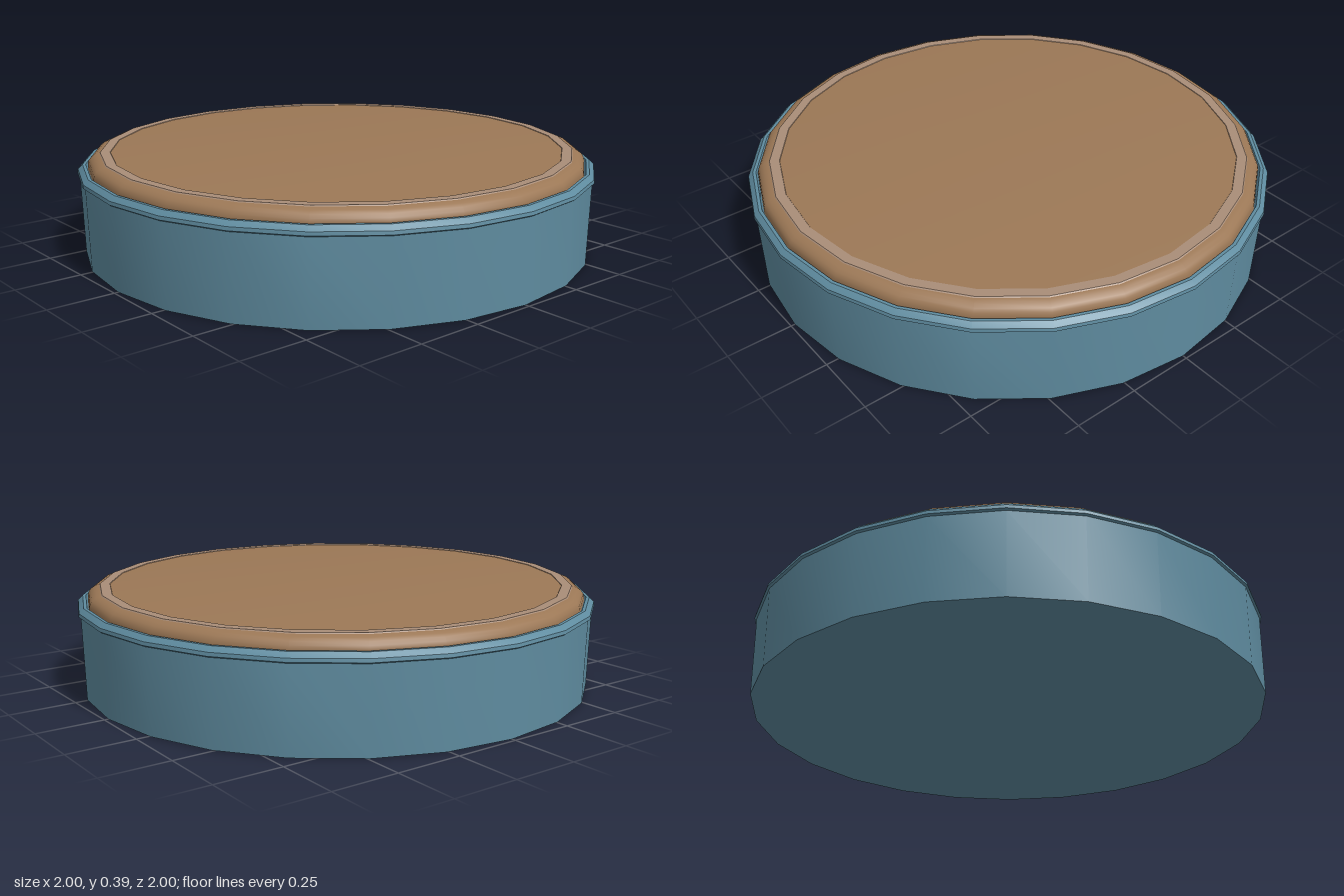
import * as THREE from 'three';
import { toCreasedNormals } from 'three/addons/utils/BufferGeometryUtils.js';

const SIDES = 24;

// Turned part from a profile of [radius, height] pairs, running up the outside
function turned(name, color, profile) {
  const points = profile.map(([r, y]) => new THREE.Vector2(r, y));
  const geometry = toCreasedNormals(new THREE.LatheGeometry(points, SIDES), 0.6);
  const mesh = new THREE.Mesh(geometry, new THREE.MeshStandardMaterial({ color }));
  mesh.name = name;
  return mesh;
}

export function createModel() {
  const group = new THREE.Group();
  group.name = 'roundTin';

  // Shallow tub with slightly flared wall, rolled lip and a narrow groove inside it
  group.add(turned('tub', 0x5f8ca0, [
    [0, 0], [0.985, 0], [0.992, 0.31], [1, 0.315], [0.998, 0.328],
    [0.98, 0.345], [0.968, 0.345], [0.96, 0.325], [0.94, 0.32],
  ]));

  // Domed-edge lid, flat on top
  const lid = [[0.962, 0.315], [0.96, 0.345]];
  for (let i = 1; i <= 5; i++) {
    const a = (i / 5) * Math.PI / 2;
    lid.push([0.9 + 0.06 * Math.cos(a), 0.345 + 0.042 * Math.sin(a)]);
  }
  lid.push([0, 0.387]);
  group.add(turned('lid', 0x9c7856, lid));

  // Thin pale band inlaid around the lid's top
  group.add(turned('lidBand', 0xa98d78, [
    [0.917, 0.384], [0.912, 0.389], [0.875, 0.389], [0.873, 0.386],
  ]));

  return group;
}
